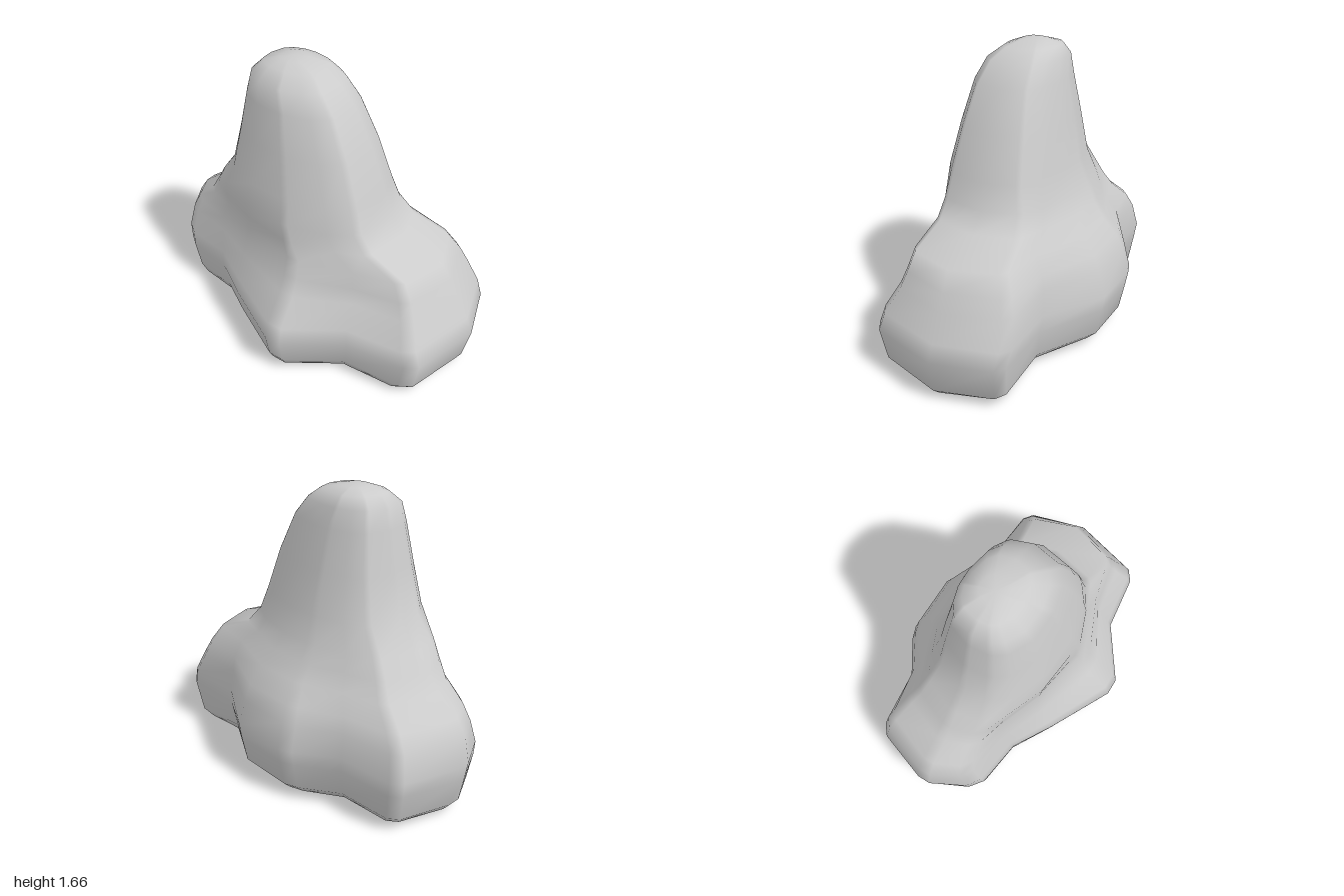
import * as THREE from 'three';

// Footprint of the rock: left end, front ridge, right end, broad back
const footprint = [
  [-1, 0], [-0.9, 0.2], [-0.82, 0.26], [-0.54, 0.3], [-0.3, 0.44], [0.07, 0.63], [0.17, 0.63],
  [0.48, 0.42], [0.82, 0.38], [0.89, 0.33], [1, -0.07], [0.9, -0.4], [0.84, -0.44], [0.48, -0.43],
  [0.12, -0.63], [-0.22, -0.63], [-0.3, -0.6], [-0.52, -0.45], [-0.84, -0.43], [-0.9, -0.38], [-1, -0.08],
];

// Levels: height, left, right, front, back, centre x, roundness (0 footprint, 1 rounded column)
const levels = [
  [0.035, -0.91, 0.9, 0.57, -0.53, 0, 0],
  [0.09, -0.955, 0.96, 0.6, -0.585, 0, 0],
  [0.25, -0.985, 1, 0.635, -0.615, 0, 0],
  [0.34, -1, 0.96, 0.605, -0.63, 0, 0],
  [0.48, -0.97, 0.885, 0.48, -0.59, 0, 0.15],
  [0.57, -0.91, 0.84, 0.43, -0.55, 0, 0.3],
  [0.67, -0.78, 0.78, 0.395, -0.475, 0, 0.45],
  [0.76, -0.71, 0.54, 0.38, -0.415, -0.02, 0.65],
  [0.86, -0.64, 0.455, 0.37, -0.37, -0.04, 0.85],
  [1.0, -0.53, 0.41, 0.34, -0.32, -0.05, 1],
  [1.24, -0.47, 0.32, 0.295, -0.275, -0.08, 1],
  [1.46, -0.425, 0.21, 0.25, -0.225, -0.11, 1],
  [1.57, -0.4, 0.11, 0.21, -0.2, -0.15, 1],
  [1.63, -0.34, 0.02, 0.13, -0.16, -0.17, 1],
  [1.655, -0.25, -0.1, 0.06, -0.09, -0.18, 1],
];

// One cross-section: the footprint eased towards a rounded column and fitted to the level
function section([y, left, right, front, back, cx, round], lowest) {
  return footprint.map(([fx, fz]) => {
    const u = fx, v = fz / 0.63;
    const norm = (Math.abs(u) ** 2.5 + Math.abs(v) ** 2.5) ** 0.4;
    const k = THREE.MathUtils.lerp(1, 1 / norm, round);
    const x = cx + u * k * (u < 0 ? cx - left : right - cx);
    const z = v * k * (v > 0 ? front : -back);
    // The underside dips at the right end
    const dip = lowest ? 0.035 * THREE.MathUtils.clamp((x - 0.5) / 0.4, 0, 1) : 0;
    return [x, y - dip, z];
  });
}

function rockGeometry() {
  const n = footprint.length;
  const positions = levels.flatMap((level, i) => section(level, i < 2).flat());
  const index = [];
  for (let i = 0; i < levels.length - 1; i++) {
    for (let j = 0; j < n; j++) {
      const a = i * n + j, b = i * n + ((j + 1) % n);
      index.push(a, b, b + n, a, b + n, a + n);
    }
  }
  // Close the underside and the peak
  const base = levels.length * n, peak = base + 1, last = (levels.length - 1) * n;
  positions.push(0, 0.02, 0, -0.18, 1.662, -0.01);
  for (let j = 0; j < n; j++) {
    const k = (j + 1) % n;
    index.push(base, k, j, peak, last + j, last + k);
  }
  const geometry = new THREE.BufferGeometry();
  geometry.setAttribute('position', new THREE.Float32BufferAttribute(positions, 3));
  geometry.setIndex(index);
  geometry.computeVertexNormals();
  return geometry;
}

export function createModel() {
  const group = new THREE.Group();
  group.name = 'rockFormation';
  const rock = new THREE.Mesh(rockGeometry(), new THREE.MeshStandardMaterial({ color: 0xcccccc }));
  rock.name = 'rock';
  group.add(rock);
  return group;
}
